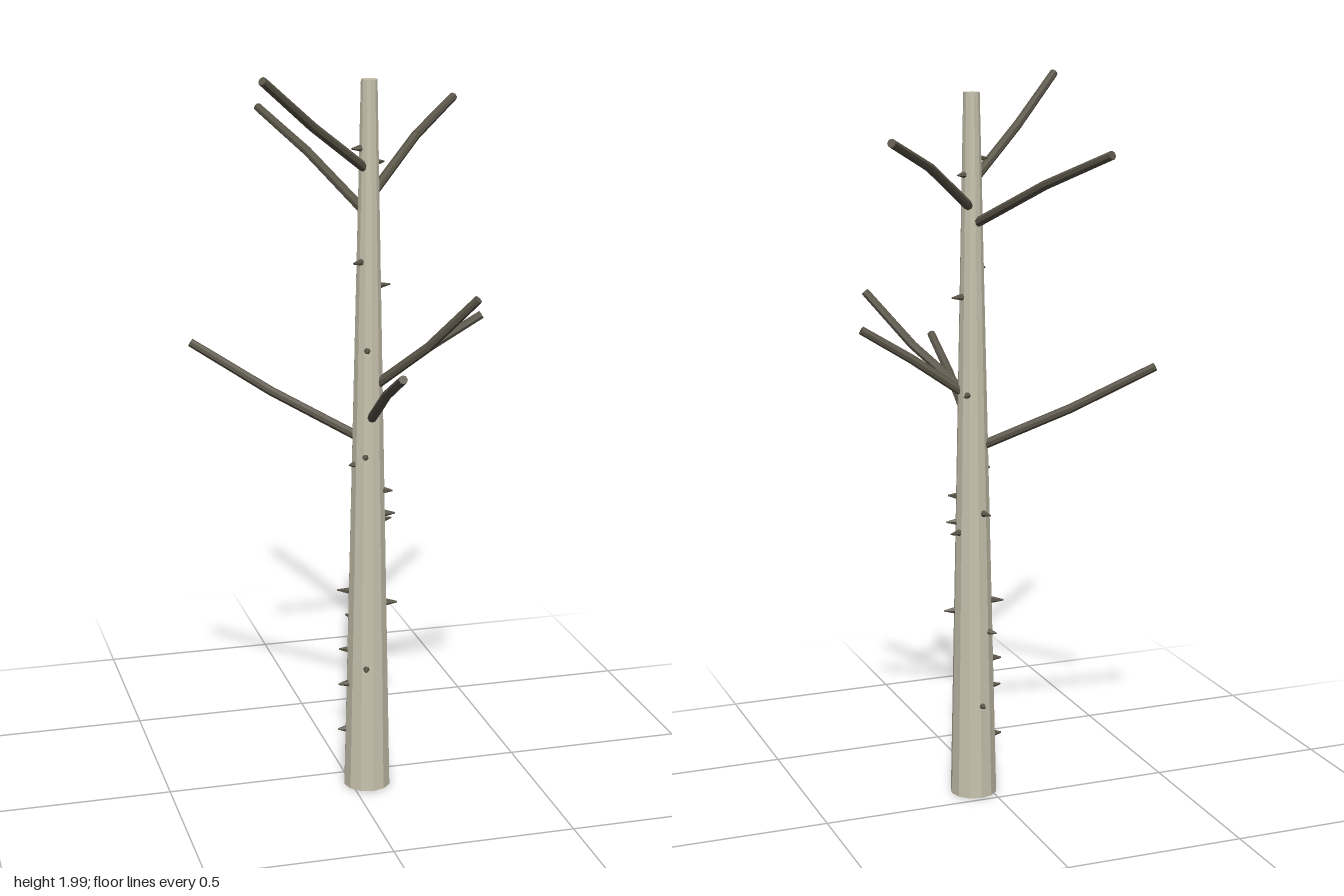
import * as THREE from 'three';

const UP = new THREE.Vector3(0, 1, 0);
const HEIGHT = 1.955, R_BASE = 0.065, R_TOP = 0.022;
const CX = 0.045, CZ = 0.076;

export function createModel() {
  const bark = new THREE.MeshStandardMaterial({ color: 0xc8c3ae });
  bark.name = 'paleBark';
  bark.flatShading = true;
  const wood = new THREE.MeshStandardMaterial({ color: 0x5a5548 });
  wood.name = 'darkWood';
  wood.flatShading = true;

  const model = new THREE.Group();
  model.name = 'bareTree';

  // Tapered trunk
  const trunk = new THREE.Mesh(new THREE.CylinderGeometry(R_TOP, R_BASE, HEIGHT, 12), bark);
  trunk.name = 'trunk';
  trunk.position.set(CX, HEIGHT / 2, CZ);
  model.add(trunk);

  // Tapered rod between two points
  function rod(a, b, ra, rb, sides) {
    const dir = b.clone().sub(a);
    const mesh = new THREE.Mesh(new THREE.CylinderGeometry(rb, ra, dir.length(), sides), wood);
    mesh.position.copy(a).add(b).multiplyScalar(0.5);
    mesh.quaternion.setFromUnitVectors(UP, dir.normalize());
    return mesh;
  }

  // Branches, each bent once: start, bend, tip
  const branches = [
    [[0.03, 1.73, 0.085], [-0.135, 1.855, 0.2], [-0.288, 1.985, 0.312]],
    [[0.038, 1.612, 0.06], [-0.05, 1.735, -0.2], [-0.134, 1.828, -0.428]],
    [[0.055, 1.655, 0.065], [0.225, 1.78, -0.105], [0.38, 1.86, -0.262]],
    [[0.03, 1.0, 0.067], [-0.19, 1.115, -0.055], [-0.385, 1.235, -0.166]],
    [[0.06, 1.15, 0.09], [0.175, 1.27, 0.19], [0.281, 1.41, 0.278]],
    [[0.06, 1.145, 0.078], [0.21, 1.25, 0.1], [0.343, 1.333, 0.121]],
    [[0.046, 1.06, 0.1], [0.042, 1.17, 0.265], [0.037, 1.252, 0.428]],
  ];
  branches.forEach((points, i) => {
    const [a, b, c] = points.map(p => new THREE.Vector3(...p));
    const branch = new THREE.Group();
    branch.name = 'branch' + (i + 1);
    branch.add(rod(a, b, 0.013, 0.0125, 8), rod(b, c, 0.0125, 0.0115, 8));
    model.add(branch);
  });

  // Short pointed twig stubs: height, angle from +x towards +z, length
  const stubs = [
    [0.165, 185, 0.02], [0.27, -95, 0.018], [0.305, 175, 0.026], [0.36, 108, 0.02],
    [0.395, 200, 0.022], [0.48, 235, 0.024], [0.535, 12, 0.028], [0.565, 205, 0.032],
    [0.765, -18, 0.028], [0.79, 10, 0.026], [0.82, -110, 0.028], [0.86, 28, 0.022],
    [0.935, 165, 0.014], [0.96, 115, 0.018], [1.15, -50, 0.026], [1.25, 110, 0.02],
    [1.415, -15, 0.032], [1.485, 145, 0.03], [1.74, -20, 0.022], [1.78, 165, 0.026],
  ];
  stubs.forEach(([y, deg, length], i) => {
    const angle = THREE.MathUtils.degToRad(deg);
    const radius = R_BASE + (R_TOP - R_BASE) * y / HEIGHT;
    const at = r => new THREE.Vector3(CX + Math.cos(angle) * r, y, CZ + Math.sin(angle) * r);
    const stub = rod(at(radius - 0.008), at(radius + length), 0.011, 0.002, 6);
    stub.name = 'stub' + (i + 1);
    model.add(stub);
  });

  return model;
}
